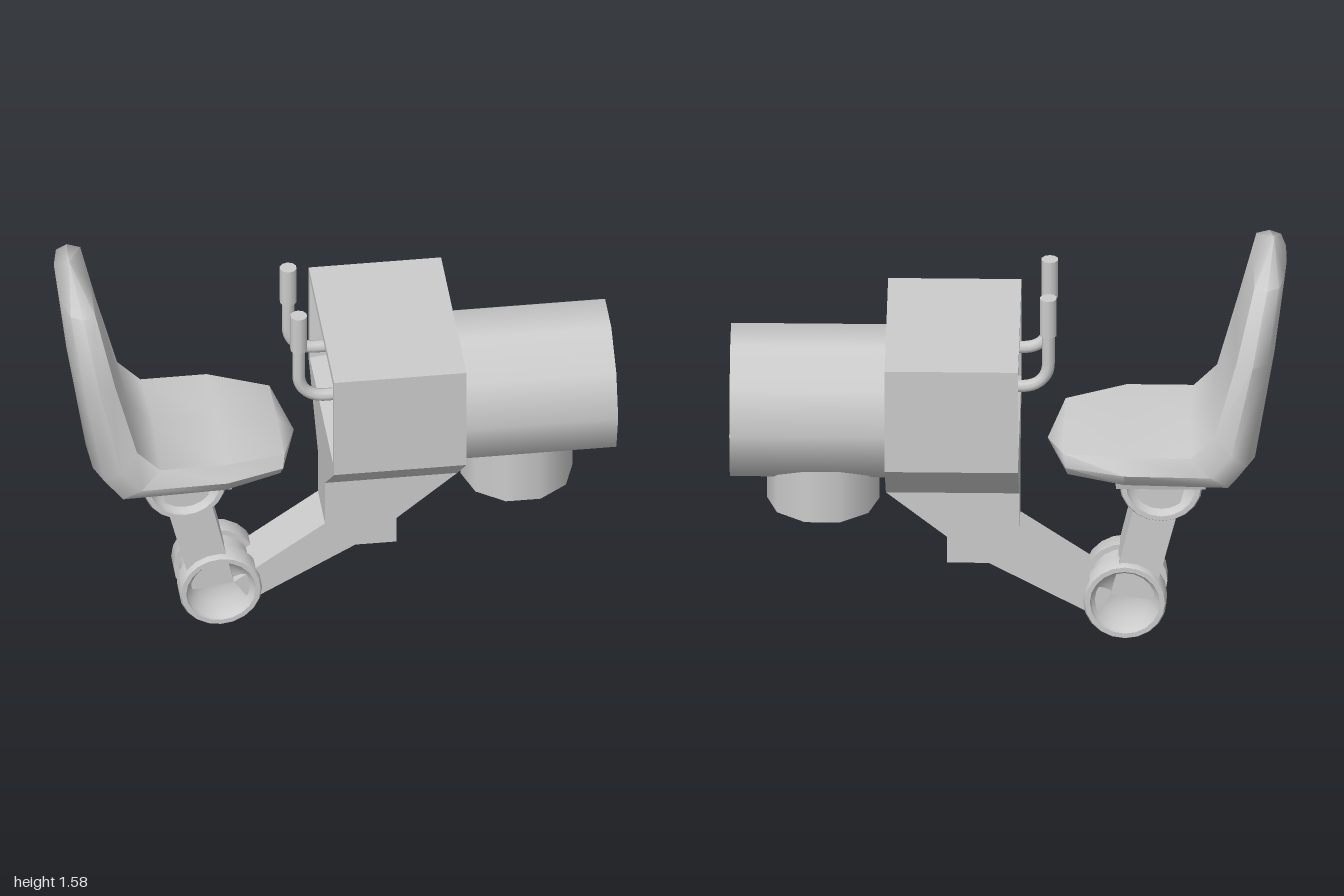
import * as THREE from 'three';
import { toCreasedNormals } from 'three/addons/utils/BufferGeometryUtils.js';

const grey = new THREE.MeshStandardMaterial({ color: 0xcccccc });

function add(parent, name, geometry, x = 0, y = 0, z = 0) {
  const mesh = new THREE.Mesh(geometry, grey);
  mesh.name = name;
  mesh.position.set(x, y, z);
  parent.add(mesh);
  return mesh;
}

// Skin through rings of points (counter-clockwise seen from the last ring), with flat caps
function loft(rings, crease) {
  const n = rings[0].length, pos = [], index = [];
  rings.forEach(r => r.forEach(p => pos.push(...p)));
  for (let i = 0; i < rings.length - 1; i++) {
    for (let j = 0; j < n; j++) {
      const a = i * n + j, b = i * n + (j + 1) % n;
      index.push(a, b, b + n, a, b + n, a + n);
    }
  }
  const last = (rings.length - 1) * n;
  for (let j = 1; j < n - 1; j++) {
    index.push(0, j + 1, j, last, last + j, last + j + 1);
  }
  const g = new THREE.BufferGeometry();
  g.setAttribute('position', new THREE.Float32BufferAttribute(pos, 3));
  g.setIndex(index);
  return toCreasedNormals(g, crease);
}

// Rectangles for lofts running towards -x and towards +y
const rectX = (x, y0, y1, w) => [[x, y0, -w], [x, y0, w], [x, y1, w], [x, y1, -w]];
const rectY = (y, x0, x1, w) => [[x0, y, w], [x1, y, w], [x1, y, -w], [x0, y, -w]];

// Side outline extruded evenly about z = 0
function slab(points, halfWidth) {
  const shape = new THREE.Shape(points.map(p => new THREE.Vector2(...p)));
  const g = new THREE.ExtrudeGeometry(shape, { depth: 2 * halfWidth, bevelEnabled: false });
  return g.translate(0, 0, -halfWidth);
}

// Pivot: a hub between two dished discs
function hinge(name, x, y) {
  const group = new THREE.Group();
  group.name = name;
  group.position.set(x, y, 0);
  const profile = [[0, 0.045], [0.15, 0.045], [0.15, 0.115], [0.144, 0.125], [0.126, 0.125],
    [0.12, 0.11], [0.085, 0.08], [0.045, 0.066], [0, 0.06]].map(p => new THREE.Vector2(...p));
  for (const s of [1, -1]) {
    const disc = new THREE.LatheGeometry(profile, 20).rotateX(s * Math.PI / 2);
    add(group, 'hingeDisc', toCreasedNormals(disc, 0.7));
  }
  add(group, 'hingeHub', new THREE.CylinderGeometry(0.13, 0.13, 0.1, 20).rotateX(Math.PI / 2));
  return group;
}

// Seat and backrest: one shell following an L, each section [front x, y, back x, y, half width]
function seatGeometry() {
  const sections = [
    [-0.14, 0.755, -0.14, 0.755, 0],
    [-0.2, 0.81, -0.22, 0.695, 0.235],
    [-0.42, 0.835, -0.42, 0.68, 0.31],
    [-0.65, 0.835, -0.83, 0.67, 0.31],
    [-0.735, 0.92, -0.895, 0.76, 0.31],
    [-0.815, 1.21, -0.965, 1.2, 0.305],
    [-0.88, 1.485, -1.0, 1.485, 0.235],
    [-0.955, 1.58, -0.955, 1.58, 0],
  ];
  // Around the section: [back-to-front blend, share of the half width]
  const around = [[0, 0], [0.04, 0.5], [0.2, 0.88], [0.55, 1], [0.94, 0.9],
    [1, 0], [0.94, -0.9], [0.55, -1], [0.2, -0.88], [0.04, -0.5]];
  return loft(sections.map(([fx, fy, bx, by, w]) => around.map(([t, s]) =>
    [bx + (fx - bx) * t, by + (fy - by) * t, w * s])), 1.0);
}

export function createModel() {
  const model = new THREE.Group();
  model.name = 'gunnerStation';

  // Seat on its bracket
  add(model, 'seat', seatGeometry());
  add(model, 'seatBracket', loft([
    rectY(0.625, -0.64, -0.46, 0.14),
    rectY(0.65, -0.71, -0.39, 0.19),
    rectY(0.695, -0.725, -0.385, 0.2),
  ], 0.3));

  // Folding support
  model.add(hinge('seatHinge', -0.55, 0.63));
  model.add(hinge('lowerHinge', -0.42, 0.15));
  add(model, 'seatLink', slab([[-0.52, 0.15], [-0.37, 0.17], [-0.475, 0.63], [-0.635, 0.61]], 0.1));
  add(model, 'supportArm', slab([[-0.04, 0.58], [-0.04, 0.4], [-0.37, 0.17], [-0.31, 0.085],
    [0.07, 0.295], [0.22, 0.295], [0.22, 0.4], [0.44, 0.58]], 0.1));

  // Housing with a recessed panel facing the seat, tapering down to the arm
  add(model, 'housing', loft([
    rectX(0.44, 0.8, 1.21, 0.355),
    rectX(-0.04, 0.8, 1.21, 0.355),
    rectX(-0.04, 0.83, 1.18, 0.325),
    rectX(0.05, 0.87, 1.14, 0.285),
  ], 0.3));
  add(model, 'housingTaper', loft([
    rectY(0.58, -0.04, 0.44, 0.1),
    rectY(0.8, -0.04, 0.44, 0.355),
  ], 0.3));

  // Ten-sided barrel and the stub beneath it
  const barrel = new THREE.CylinderGeometry(0.28, 0.28, 0.58, 10).rotateX(Math.PI / 2);
  barrel.rotateZ(Math.PI / 2).rotateY(Math.PI / 2);
  add(model, 'barrel', barrel, 0.71, 0.9, 0);
  const stub = new THREE.CylinderGeometry(0.203, 0.203, 0.27, 10).rotateY(Math.PI / 2);
  add(model, 'barrelStub', stub, 0.667, 0.64, 0);

  // Control handles bent upward out of the panel
  const bend = new THREE.CurvePath();
  const v = (x, y) => new THREE.Vector3(x, y, 0);
  bend.add(new THREE.LineCurve3(v(0.06, 1.03), v(-0.05, 1.03)));
  bend.add(new THREE.CubicBezierCurve3(v(-0.05, 1.03), v(-0.1, 1.03), v(-0.145, 1.06), v(-0.145, 1.125)));
  bend.add(new THREE.LineCurve3(v(-0.145, 1.125), v(-0.145, 1.26)));
  for (const z of [0.175, -0.12]) {
    const handle = new THREE.Group();
    handle.name = 'controlHandle';
    handle.position.z = z;
    add(handle, 'handleStem', new THREE.TubeGeometry(bend, 24, 0.023, 8));
    add(handle, 'handleGrip', new THREE.CylinderGeometry(0.031, 0.031, 0.15, 10), -0.145, 1.315, 0);
    model.add(handle);
  }
  return model;
}
